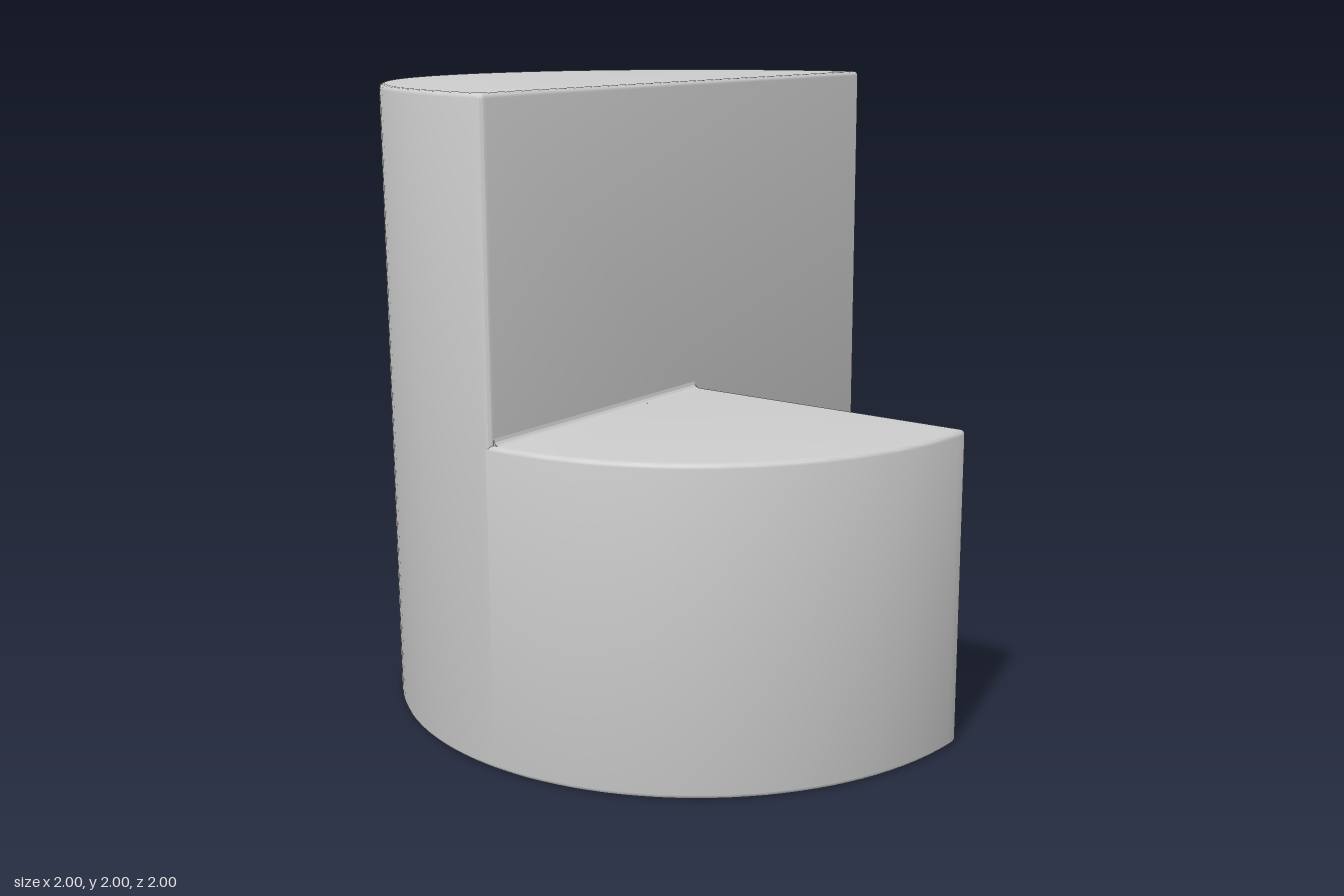
import * as THREE from 'three';
import { toCreasedNormals } from 'three/addons/utils/BufferGeometryUtils.js';

const EDGE = 0.02;   // rounding of vertical edges
const BEVEL = 0.015; // rounding of top and bottom rims
const material = new THREE.MeshStandardMaterial({ color: 0xcccccc });

const onCircle = (deg) => {
  const a = THREE.MathUtils.degToRad(deg);
  return new THREE.Vector2(Math.cos(a), Math.sin(a));
};

// Points of the unit circle, one every 3 degrees
function arc(from, to) {
  const n = Math.round((to - from) / 3);
  return Array.from({ length: n + 1 }, (_, i) => onCircle(from + ((to - from) * i) / n));
}

// Softened corner between two edge points
const corner = (start, tip, end) => new THREE.QuadraticBezierCurve(start, tip, end).getPoints(3);

function makeMesh(name, geometry) {
  const mesh = new THREE.Mesh(toCreasedNormals(geometry, 0.6), material);
  mesh.name = name;
  return mesh;
}

// Upright block from a plan outline (plan y points to the back)
function block(name, points, height) {
  const geometry = new THREE.ExtrudeGeometry(new THREE.Shape(points), {
    depth: height - 2 * BEVEL,
    bevelThickness: BEVEL, bevelSize: BEVEL, bevelOffset: -BEVEL, bevelSegments: 3,
  });
  geometry.translate(0, 0, BEVEL).rotateX(-Math.PI / 2);
  return makeMesh(name, geometry);
}

// Small concave strip that softens an inner corner
function fillet(name, length) {
  const shape = new THREE.Shape();
  shape.moveTo(-0.01, -0.01);
  shape.lineTo(EDGE, -0.01);
  shape.lineTo(EDGE, 0);
  shape.absarc(EDGE, EDGE, EDGE, -Math.PI / 2, -Math.PI, true);
  shape.lineTo(-0.01, EDGE);
  return makeMesh(name, new THREE.ExtrudeGeometry(shape, { depth: length, bevelEnabled: false, curveSegments: 5 }));
}

export function createModel() {
  const group = new THREE.Group();
  group.name = 'steppedCylinder';
  const v = (x, y) => new THREE.Vector2(x, y);

  // Tall half cylinder
  const half = [
    ...corner(v(0, 1 - EDGE), v(0, 1), onCircle(91.15)),
    ...arc(93, 267),
    ...corner(onCircle(268.85), v(0, -1), v(0, -1 + EDGE)),
  ];
  group.add(block('tallHalf', half, 2));

  // Low quarter cylinder, reaching slightly into the tall half
  const quarter = [
    v(-0.1, 0),
    ...arc(264, 357),
    ...corner(onCircle(358.85), v(1, 0), v(1 - EDGE, 0)),
  ];
  group.add(block('lowQuarter', quarter, 1));

  // Inner corners: along the step's top, and up the notch at the back
  const stepFillet = fillet('stepFillet', 1 - 2 * BEVEL);
  stepFillet.position.set(0, 1, BEVEL);
  const notchFillet = fillet('notchFillet', 1 - 2 * BEVEL);
  notchFillet.rotation.x = -Math.PI / 2;
  notchFillet.position.y = BEVEL;
  group.add(stepFillet, notchFillet);

  return group;
}
